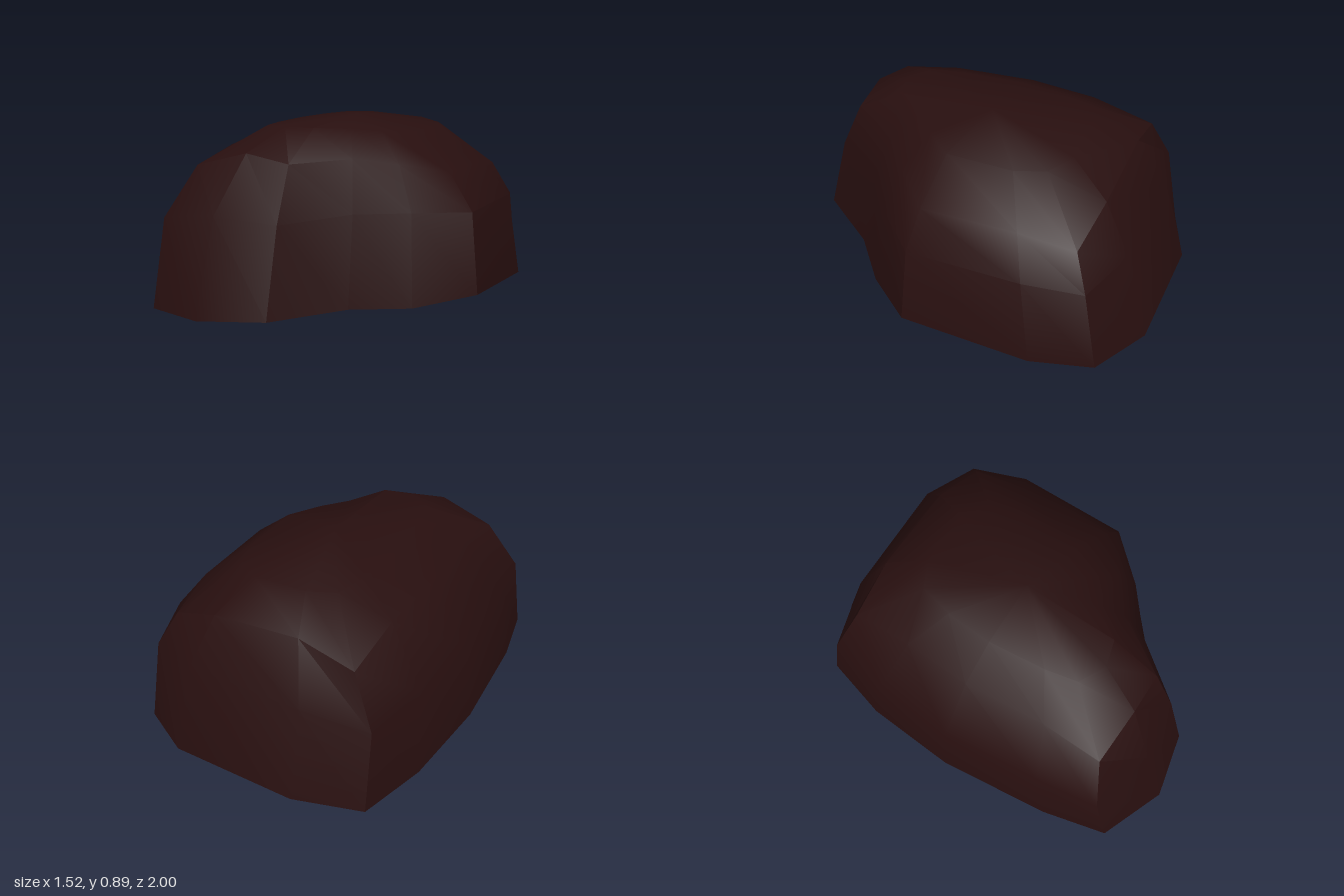
import * as THREE from 'three';
import { toCreasedNormals } from 'three/addons/utils/BufferGeometryUtils.js';

export function createModel() {
  const group = new THREE.Group();
  const darkBrown = new THREE.MeshStandardMaterial({ color: 0x280f0f, side: THREE.DoubleSide });
  darkBrown.name = 'darkBrown';

  // Lower rim: x, y, z and how strongly the column holds a squared corner
  const rim = [
    [-0.29, 0.03, -1, 0], [0.37, 0.03, -1, 0], [0.65, 0.005, -0.84, 0.9],
    [0.76, 0.03, -0.54, 0.1], [0.76, 0.055, 0.13, 0.2], [0.53, 0.025, 0.4, 0],
    [0.29, 0.04, 0.6, 0], [0.04, 0.03, 0.93, 0.5], [-0.29, 0.015, 1, 0],
    [-0.62, 0.005, 0.86, 0.9], [-0.7, 0.025, 0.53, 0.1], [-0.76, 0.045, -0.05, 0],
    [-0.72, 0.025, -0.53, 0.1], [-0.62, 0.005, -0.87, 1],
  ];
  const crown = [0.04, 0.9, -0.04];

  // Rings above the rim: scale on the -x side, +x side and in z, height,
  // drop towards +x, and the outward push and drop at corners
  const rings = [
    { left: 0.94, right: 0.935, depth: 0.87, y: 0.48, drop: 0.02, push: 0.04, sink: 0.05 },
    { left: 0.675, right: 0.75, depth: 0.72, y: 0.76, drop: 0.15, push: 0.1, sink: 0.08 },
    { left: 0.41, right: 0.47, depth: 0.51, y: 0.865, drop: 0.06, push: 0, sink: 0 },
  ];

  const n = rim.length;
  const points = rim.flatMap(([x, y, z]) => [x, y, z]);
  for (const r of rings) {
    for (const [x, , z, corner] of rim) {
      const dx = x - crown[0], dz = z - crown[2];
      const sx = (dx < 0 ? r.left : r.right) + r.push * corner;
      const sz = r.depth + r.push * corner;
      points.push(
        crown[0] + dx * sx,
        r.y - r.drop * Math.max(0, dx) - r.sink * corner,
        crown[2] + dz * sz,
      );
    }
  }
  points.push(...crown);

  // Quads between rings, then a fan closing the crown
  const index = [];
  const apex = n * (rings.length + 1);
  for (let i = 0; i < n; i++) {
    const j = (i + 1) % n;
    for (let k = 0; k < rings.length; k++) {
      const a = k * n + i, b = k * n + j;
      index.push(a, a + n, b + n, a, b + n, b);
    }
    index.push(rings.length * n + i, apex, rings.length * n + j);
  }

  const geometry = new THREE.BufferGeometry();
  geometry.setAttribute('position', new THREE.Float32BufferAttribute(points, 3));
  geometry.setIndex(index);

  // Open-bottomed domed shell with a slanted cut at one front corner
  const shell = new THREE.Mesh(toCreasedNormals(geometry, 0.64), darkBrown);
  shell.name = 'domedShell';
  group.add(shell);
  return group;
}
